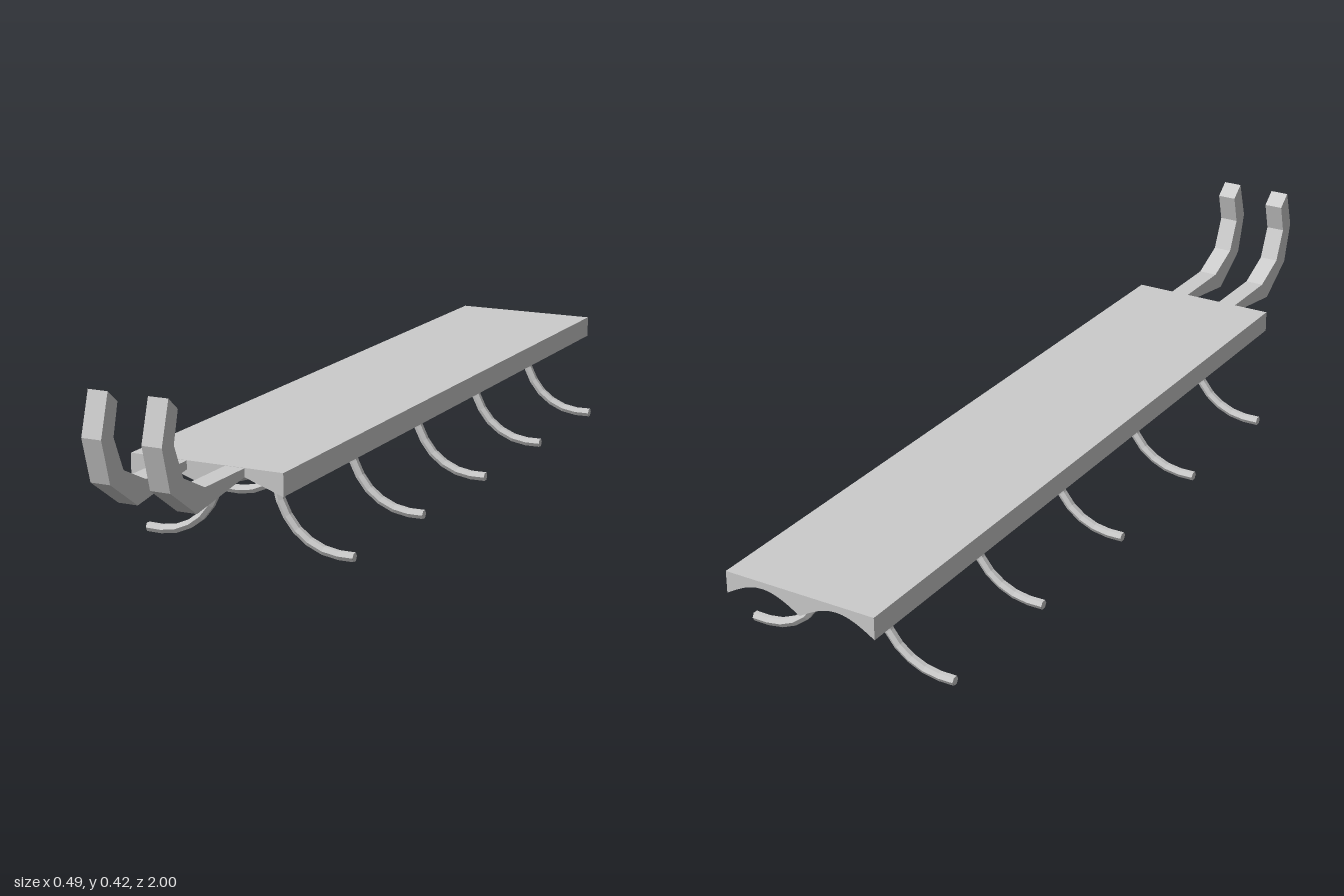
import * as THREE from 'three';

const material = new THREE.MeshStandardMaterial({ color: 0xcccccc, flatShading: true });

function addMesh(parent, geometry, name) {
  const mesh = new THREE.Mesh(geometry, material);
  mesh.name = name;
  parent.add(mesh);
  return mesh;
}

// Long slab whose underside is hollowed by two notches at each end
function bodyGeometry() {
  const halfW = 0.175, bottom = 0.173, top = 0.222, front = 0.69, back = -1;
  const rows = 8, endDepth = 0.13, segs = rows * 2 + 1;
  const geo = new THREE.BoxGeometry(2, 1, segs, 24, 1, segs);
  const p = geo.attributes.position;
  for (let i = 0; i < p.count; i++) {
    const u = p.getX(i);
    const row = Math.round(p.getZ(i) + segs / 2);
    const z = row <= rows
      ? back + endDepth * row / rows
      : front - endDepth * (segs - row) / rows;
    let y = top;
    if (p.getY(i) < 0) {
      // t is 0 at the edges and the centre line, 1 in the middle of each half
      const t = 1 - Math.abs(2 * Math.abs(u) - 1);
      const rise = z > 0
        ? 0.03 * t - 0.03 * (front - z) / endDepth
        : 0.034 * Math.sin(t * Math.PI / 2) - 0.034 * ((z - back) / endDepth) ** 2;
      y = bottom + Math.max(0, rise);
    }
    p.setXYZ(i, u * halfW - 0.003, y, z);
  }
  geo.computeVertexNormals();
  return geo;
}

// Upturned hook: side profile (z, y) extruded across x
function hookGeometry() {
  const profile = [
    [0.62, 0.208], [0.69, 0.203], [0.877, 0.177], [0.973, 0.242], [1, 0.336],
    [0.973, 0.425], [0.94, 0.398], [0.957, 0.332], [0.925, 0.26], [0.845, 0.222], [0.62, 0.221],
  ].map(([z, y]) => new THREE.Vector2(z, y));
  const geo = new THREE.ExtrudeGeometry(new THREE.Shape(profile), { depth: 0.044, bevelEnabled: false });
  geo.translate(0, 0, -0.022);
  geo.rotateY(-Math.PI / 2);
  return geo;
}

// Curved six-sided leg sweeping outward to one side
function addLeg(parent, side, z) {
  const leg = new THREE.Group();
  leg.name = side > 0 ? 'leftLeg' : 'rightLeg';
  const points = [
    [0.066, 0.182], [0.069, 0.133], [0.092, 0.079], [0.129, 0.039], [0.187, 0.0135], [0.245, 0.0115],
  ].map(([x, y]) => new THREE.Vector3(side * x, y, 0));
  const curve = new THREE.CatmullRomCurve3(points);
  addMesh(leg, new THREE.TubeGeometry(curve, 8, 0.0105, 6), 'legTube');
  const cap = addMesh(leg, new THREE.CircleGeometry(0.0105, 6), 'legTip');
  cap.position.copy(points[points.length - 1]);
  cap.rotation.y = side * Math.PI / 2;
  leg.position.z = z;
  parent.add(leg);
}

export function createModel() {
  const model = new THREE.Group();
  model.name = 'model';
  addMesh(model, bodyGeometry(), 'body');

  // Pair of hooks at the front
  for (const side of [-1, 1]) {
    const hook = addMesh(model, hookGeometry(), side > 0 ? 'leftHook' : 'rightHook');
    hook.position.x = side * 0.066 - 0.003;
  }

  // Five pairs of legs
  for (let i = 0; i < 5; i++) {
    for (const side of [-1, 1]) addLeg(model, side, 0.522 - i * 0.338);
  }
  return model;
}
